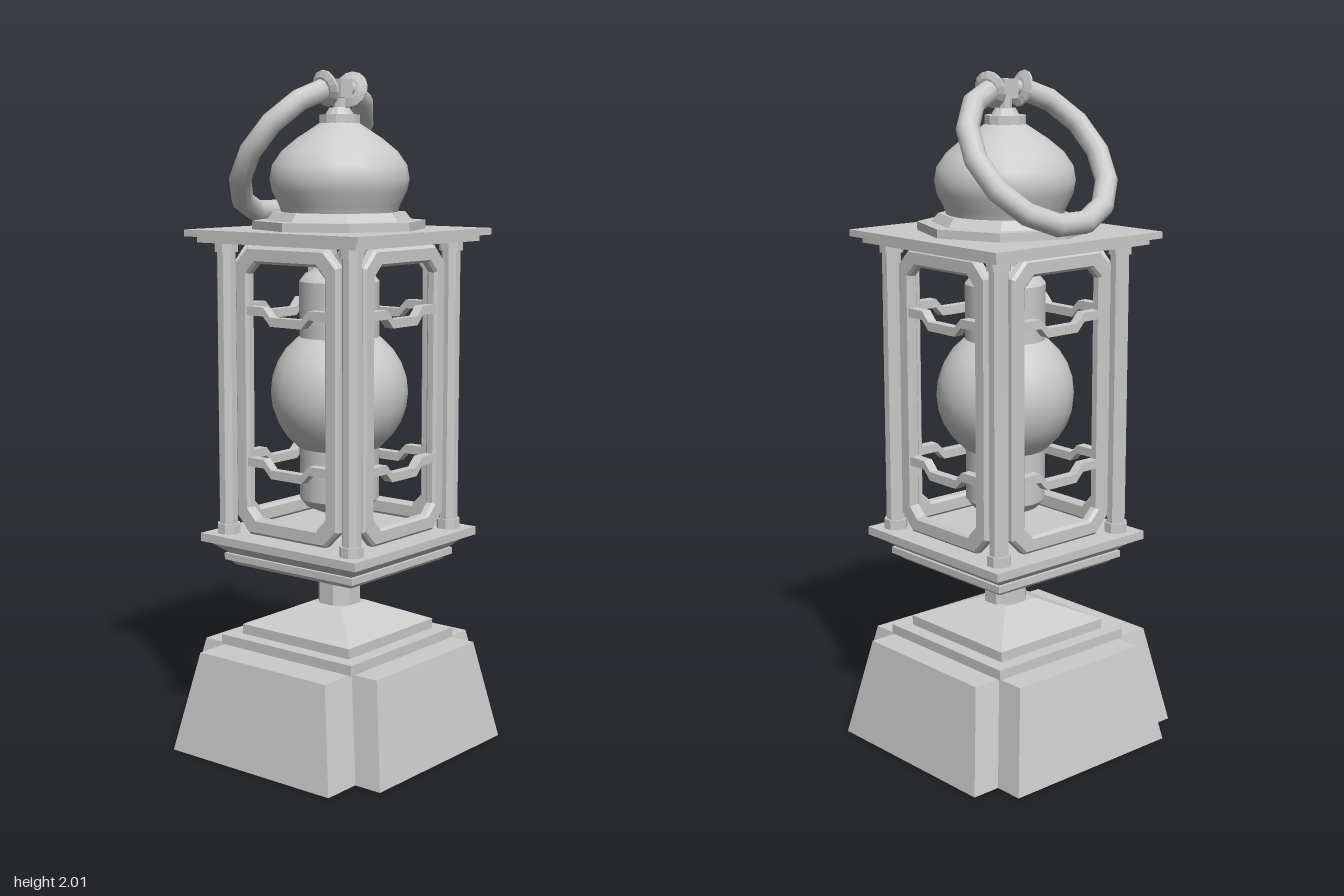
import * as THREE from 'three';

const flat = new THREE.MeshStandardMaterial({ color: 0xcccccc, flatShading: true });
const smooth = new THREE.MeshStandardMaterial({ color: 0xcccccc });

function add(parent, name, geometry, material = flat) {
  const mesh = new THREE.Mesh(geometry, material);
  mesh.name = name;
  parent.add(mesh);
  return mesh;
}

// Rectangular block from y0 to y1 whose half sizes change from bottom to top
function taper(y0, y1, x0, z0, x1 = x0, z1 = z0) {
  const g = new THREE.BoxGeometry(2, 1, 2);
  const p = g.attributes.position;
  for (let i = 0; i < p.count; i++) {
    const top = p.getY(i) > 0;
    p.setXYZ(i, p.getX(i) * (top ? x1 : x0), top ? y1 : y0, p.getZ(i) * (top ? z1 : z0));
  }
  g.computeVertexNormals();
  return g;
}

const square = (y0, y1, h0, h1 = h0) => taper(y0, y1, h0, h0, h1, h1);

// Upright prism; turn is in fractions of one side
function prism(y0, y1, r0, r1, sides, turn = 0) {
  const g = new THREE.CylinderGeometry(r1, r0, y1 - y0, sides);
  g.rotateY((turn * 2 * Math.PI) / sides);
  return g.translate(0, (y0 + y1) / 2, 0);
}

const lathe = (points, sides) =>
  new THREE.LatheGeometry(points.map(([r, y]) => new THREE.Vector2(r, y)), sides);

// Rectangle with cut corners
function cutRect(Type, w, y0, y1, c) {
  const s = new Type();
  const pts = [[w - c, y0], [w, y0 + c], [w, y1 - c], [w - c, y1],
    [c - w, y1], [-w, y1 - c], [-w, y0 + c], [c - w, y0]];
  s.setFromPoints(pts.map(([x, y]) => new THREE.Vector2(x, y)));
  s.closePath();
  return s;
}

// Bar with a lowered middle, spanning a window
function bracketGeometry(y) {
  const line = [[-0.155, 0], [-0.085, 0], [-0.058, -0.028], [0.058, -0.028], [0.085, 0], [0.155, 0]];
  const h = 0.013;
  const outline = [
    ...line.map(([x, d]) => new THREE.Vector2(x, y + d - h)),
    ...line.slice().reverse().map(([x, d]) => new THREE.Vector2(x, y + d + h)),
  ];
  const g = new THREE.ExtrudeGeometry(new THREE.Shape(outline), { depth: 0.03, bevelEnabled: false });
  return g.translate(0, 0, 0.215);
}

function buildBase(root) {
  const base = new THREE.Group();
  base.name = 'base';
  root.add(base);
  add(base, 'wideFoot', taper(0, 0.3, 0.403, 0.3, 0.345, 0.24)).position.x = -0.003;
  add(base, 'deepFoot', taper(0, 0.3, 0.298, 0.388, 0.24, 0.33)).position.x = 0.013;
  const x = 0.008;
  add(base, 'step', square(0.3, 0.33, 0.25)).position.x = x;
  add(base, 'plinth', square(0.33, 0.36, 0.205)).position.x = x;
  add(base, 'plinthSlope', square(0.36, 0.425, 0.205, 0.06)).position.x = x;
}

function buildCage(lantern) {
  // Stem and tray
  add(lantern, 'stem', prism(0.42, 0.55, 0.066, 0.066, 8, 0.5));
  add(lantern, 'trayFoot', square(0.545, 0.562, 0.22, 0.235));
  add(lantern, 'trayLip', square(0.562, 0.582, 0.245));
  add(lantern, 'traySlope', square(0.582, 0.62, 0.235, 0.28));
  add(lantern, 'trayPlate', square(0.62, 0.645, 0.295));

  // Window frame with bevelled edges
  const shape = cutRect(THREE.Shape, 0.185, 0.663, 1.497, 0.045);
  shape.holes.push(cutRect(THREE.Path, 0.151, 0.697, 1.463, 0.035));
  const frame = new THREE.ExtrudeGeometry(shape, {
    depth: 0.02, bevelThickness: 0.008, bevelSize: 0.008, bevelSegments: 1,
  });
  frame.translate(0, 0, 0.22);

  // Four sides: window, two brackets and a corner post each
  for (let i = 0; i < 4; i++) {
    const side = new THREE.Group();
    side.name = 'cageSide';
    side.rotation.y = (i * Math.PI) / 2;
    lantern.add(side);
    add(side, 'windowFrame', frame);
    add(side, 'upperBracket', bracketGeometry(1.318));
    add(side, 'lowerBracket', bracketGeometry(0.872));
    const post = new THREE.Group();
    post.name = 'cornerPost';
    post.position.set(0.235, 0, 0.235);
    side.add(post);
    add(post, 'postShaft', prism(0.645, 1.52, 0.029, 0.029, 8, 0.5));
    add(post, 'postFoot', prism(0.645, 0.675, 0.036, 0.036, 8, 0.5));
    add(post, 'postHead', prism(1.485, 1.515, 0.036, 0.036, 8, 0.5));
  }
}

function buildLamp(lantern) {
  const globe = add(lantern, 'globe', new THREE.SphereGeometry(0.205, 20, 14), smooth);
  globe.position.y = 1.067;
  for (const s of [1, -1]) {
    const y = (d) => 1.067 + s * d;
    const cap = s > 0 ? 0.33 : 0.32;
    const end = [[0.119, y(cap)], [0.1, y(cap + 0.023)], [0.06, y(cap + 0.04)], [0, y(cap + 0.046)]];
    add(lantern, 'lampSleeve', prism(Math.min(y(0.1), y(cap)), Math.max(y(0.1), y(cap)), 0.119, 0.119, 20), smooth);
    add(lantern, 'lampEnd', lathe(s > 0 ? end : end.reverse(), 20), smooth);
  }
}

function buildRoof(lantern) {
  add(lantern, 'roofUnderside', square(1.512, 1.534, 0.295));
  add(lantern, 'roofPlate', square(1.53, 1.55, 0.321));
  add(lantern, 'roofStep', prism(1.55, 1.575, 0.256, 0.256, 8));
  add(lantern, 'domeSeat', prism(1.575, 1.6, 0.215, 0.195, 8));
  add(lantern, 'dome', lathe([[0.17, 1.595], [0.178, 1.62], [0.198, 1.66], [0.205, 1.695],
    [0.198, 1.735], [0.17, 1.775], [0.125, 1.812], [0.085, 1.838], [0.052, 1.86]], 20), smooth);
  add(lantern, 'domeCollar', prism(1.852, 1.88, 0.06, 0.06, 12));
  add(lantern, 'domeNeck', prism(1.88, 1.9, 0.042, 0.03, 12));
  add(lantern, 'neckPin', prism(1.9, 1.94, 0.02, 0.02, 8));
}

function buildHandle(lantern) {
  // Tilted carrying ring, hinged at its top edge
  const handle = new THREE.Group();
  handle.name = 'handle';
  handle.position.set(0, 1.775, -0.14);
  handle.rotation.x = Math.atan2(0.28, 0.365);
  lantern.add(handle);
  const ring = new THREE.TorusGeometry(0.232, 0.033, 10, 13, (2 * Math.PI * 13) / 14);
  ring.rotateZ(Math.PI / 2 + Math.PI / 14);
  add(handle, 'ring', ring, smooth);

  const pin = add(handle, 'hingePin', prism(-0.065, 0.065, 0.022, 0.022, 10), smooth);
  pin.rotation.z = Math.PI / 2;
  pin.position.y = 0.226;
  const block = add(lantern, 'hingeBlock', new THREE.BoxGeometry(0.054, 0.054, 0.054));
  block.position.y = 1.954;

  // Dished stops where the ring meets the hinge
  for (const s of [1, -1]) {
    const stop = add(handle, 'ringStop', lathe(
      [[0, -0.012], [0.03, -0.011], [0.053, -0.004], [0.053, 0.002], [0.036, 0.012], [0, 0.014]], 14));
    stop.position.set(s * 0.06, 0.224, 0);
    stop.rotation.z = -s * (Math.PI / 2 + 0.3);
  }
}

export function createModel() {
  const root = new THREE.Group();
  root.name = 'lantern';
  buildBase(root);
  const body = new THREE.Group();
  body.name = 'lanternBody';
  body.position.x = 0.013;
  root.add(body);
  buildCage(body);
  buildLamp(body);
  buildRoof(body);
  buildHandle(body);
  return root;
}
